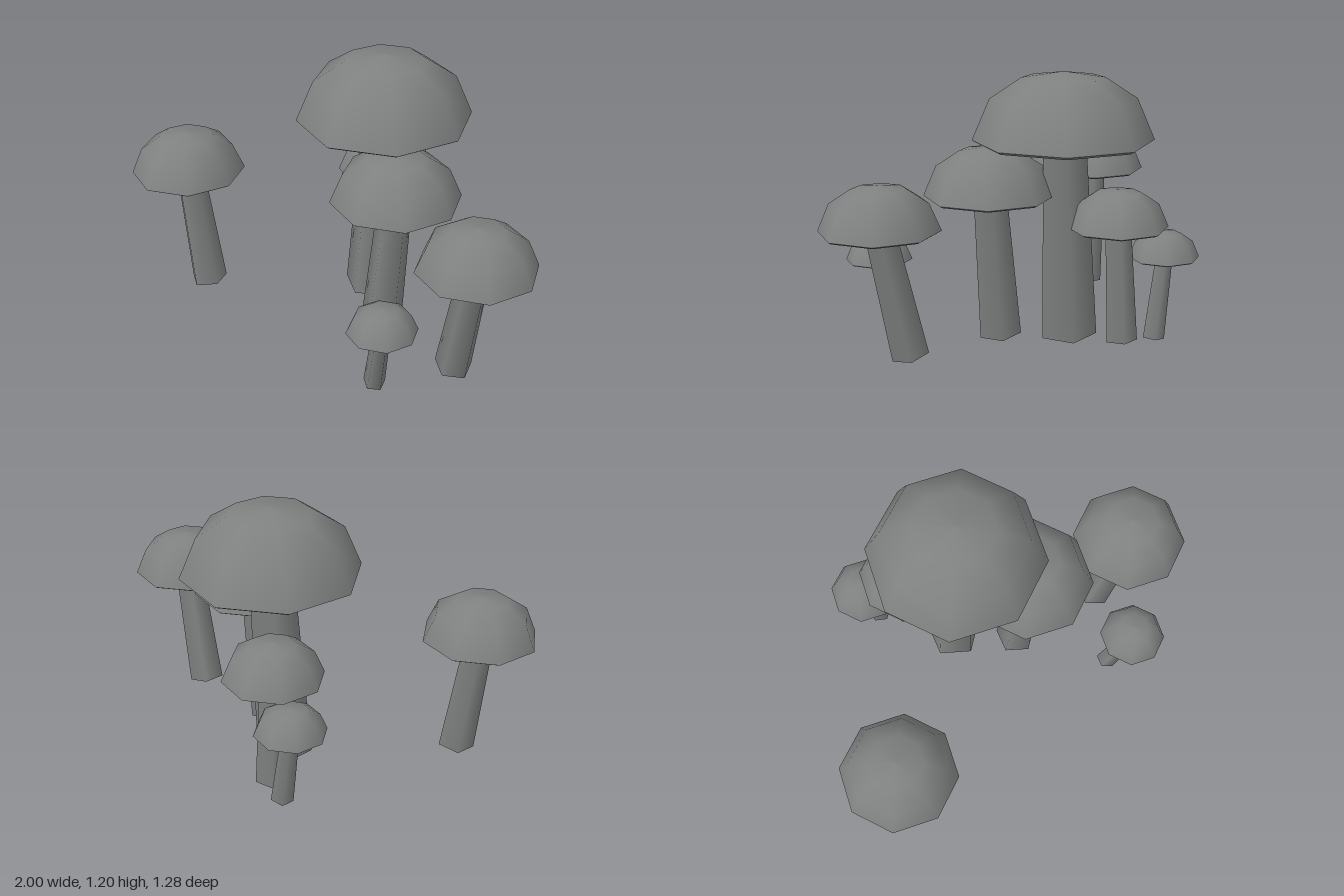
import * as THREE from 'three';

const grey = new THREE.MeshStandardMaterial({ color: 0x7e8180 });
grey.name = 'mushroomGrey';

const lathe = (pts) =>
  new THREE.LatheGeometry(pts.map(([x, y]) => new THREE.Vector2(x, y)), 8);

// Unit cap: eight-sided dome and an underside with a narrow bevelled lip
const domeGeometry = lathe([[1, 0], [0.805, 0.455], [0.455, 0.685], [0, 0.75]]);
const lipGeometry = lathe([[0, -0.03], [0.95, -0.03], [1, 0]]);

function addMesh(parent, name, geometry) {
  const mesh = new THREE.Mesh(geometry, grey);
  mesh.name = name;
  parent.add(mesh);
  return mesh;
}

// base and top: [x, y, z, stem radius]; capRadius sets the size of the cap
function makeMushroom(name, base, top, capRadius) {
  const group = new THREE.Group();
  group.name = name;
  const a = new THREE.Vector3(...base.slice(0, 3));
  const b = new THREE.Vector3(...top.slice(0, 3));
  const axis = b.clone().sub(a);

  // Leaning, tapered five-sided stem
  const stem = addMesh(group, 'stem',
    new THREE.CylinderGeometry(top[3], base[3], axis.length(), 5));
  stem.position.copy(a).add(b).multiplyScalar(0.5);
  stem.quaternion.setFromUnitVectors(new THREE.Vector3(0, 1, 0), axis.normalize());

  // Cap
  const cap = new THREE.Group();
  cap.name = 'cap';
  cap.position.copy(b);
  cap.scale.setScalar(capRadius);
  addMesh(cap, 'capDome', domeGeometry);
  addMesh(cap, 'capUnderside', lipGeometry);
  group.add(cap);
  return group;
}

export function createModel() {
  const model = new THREE.Group();
  model.name = 'mushroomCluster';
  const mushrooms = [
    ['tallMushroom', [-0.042, 0.015, -0.15, 0.129], [0.01, 0.905, -0.165, 0.099], 0.392],
    ['rightMushroom', [-0.676, 0.018, 0.317, 0.085], [-0.742, 0.595, 0.33, 0.067], 0.256],
    ['backMushroom', [-0.132, 0.018, -0.385, 0.072], [-0.128, 0.53, -0.358, 0.06], 0.222],
    ['smallBackMushroom', [-0.248, 0.02, -0.472, 0.051], [-0.298, 0.385, -0.482, 0.04], 0.156],
    ['middleMushroom', [0.179, 0.018, 0.061, 0.096], [0.241, 0.665, 0.053, 0.076], 0.286],
    ['leftMushroom', [0.631, 0.018, 0.143, 0.083], [0.743, 0.58, 0.181, 0.067], 0.255],
    ['smallFrontMushroom', [0.434, 0.018, 0.444, 0.048], [0.509, 0.345, 0.492, 0.039], 0.148],
  ];
  for (const m of mushrooms) model.add(makeMushroom(...m));
  return model;
}
